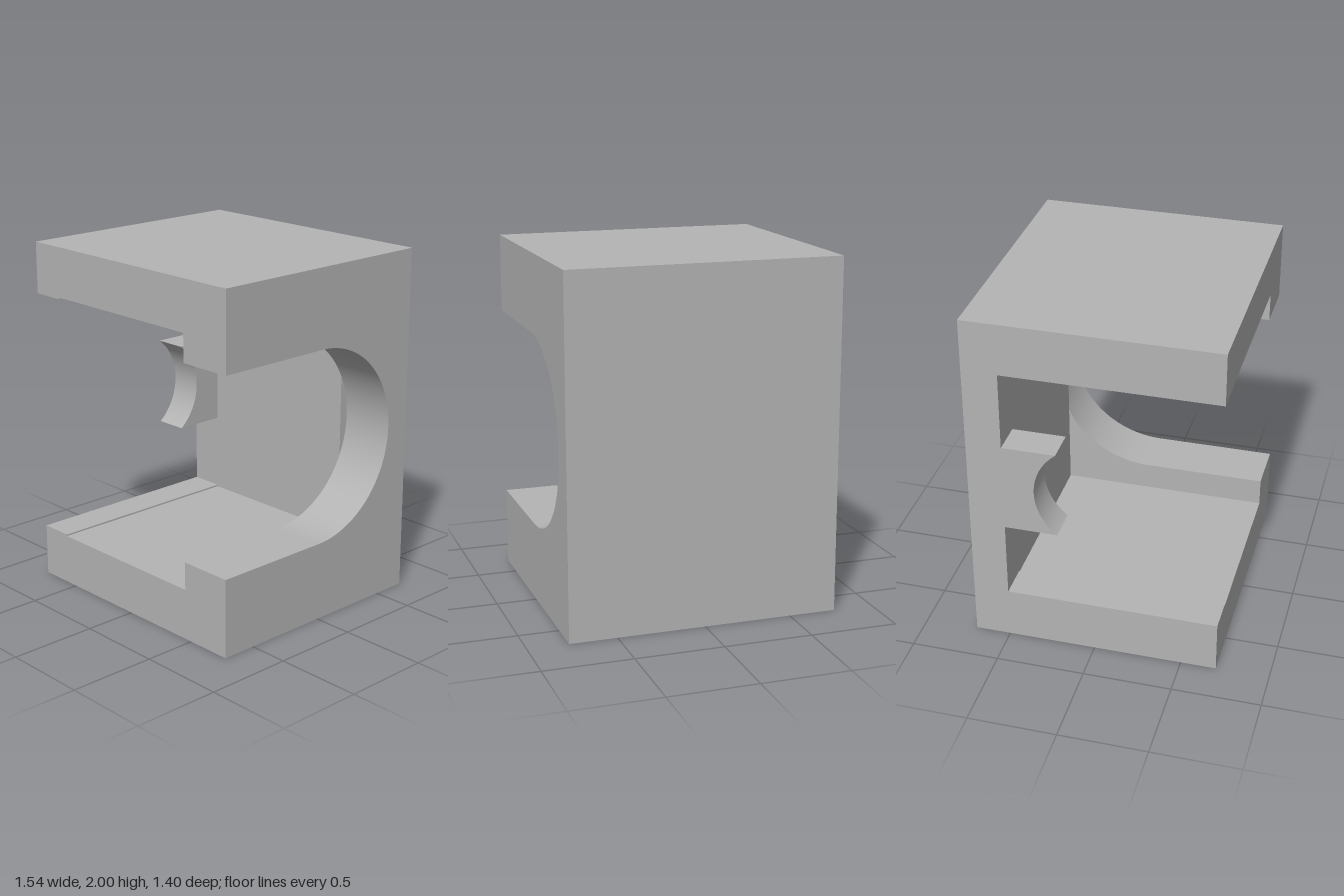
import * as THREE from 'three';
import { toCreasedNormals } from 'three/addons/utils/BufferGeometryUtils.js';

const W = 0.77, D = 0.7, H = 2, MID = 1.0025;
const X_STEP = -0.575, X_WALL = 0.455;

// Profiles are drawn with u = -z (front on the left) and v = y, then extruded along x.
function bracketProfile(floor, ceiling) {
  const s = new THREE.Shape();
  s.moveTo(-D, 0);
  s.lineTo(D, 0);
  s.lineTo(D, H);
  s.lineTo(-D, H);
  s.lineTo(-D, ceiling);
  s.lineTo(0.5, ceiling);
  s.lineTo(0.5, floor);
  s.lineTo(-D, floor);
  s.closePath();
  return s;
}

function slottedProfile(radius) {
  const s = new THREE.Shape();
  s.moveTo(-D, 0);
  s.lineTo(D, 0);
  s.lineTo(D, H);
  s.lineTo(-D, H);
  s.lineTo(-D, MID + radius);
  s.lineTo(0, MID + radius);
  s.absarc(0, MID, radius, Math.PI / 2, -Math.PI / 2, true);
  s.lineTo(-D, MID - radius);
  s.closePath();
  return s;
}

function saddleProfile(halfHeight, radius) {
  const a = Math.asin(halfHeight / radius);
  const s = new THREE.Shape();
  s.moveTo(0.5, MID - halfHeight);
  s.lineTo(0.5, MID + halfHeight);
  s.absarc(0, MID, radius, a, -a, true);
  s.closePath();
  return s;
}

export function createModel() {
  const group = new THREE.Group();
  group.name = 'bearingHousing';
  const grey = new THREE.MeshStandardMaterial({ color: 0xb4b4b4 });
  grey.name = 'plainGrey';

  function addSlice(name, shape, x0, x1) {
    const geo = new THREE.ExtrudeGeometry(shape, { depth: x1 - x0, bevelEnabled: false, curveSegments: 48 });
    geo.rotateY(Math.PI / 2);
    geo.translate(x0, 0, 0);
    const mesh = new THREE.Mesh(toCreasedNormals(geo, 0.5), grey);
    mesh.name = name;
    group.add(mesh);
  }

  // Open side, slightly deeper main cavity, and the wall with the round-ended slot
  addSlice('openSide', bracketProfile(0.3, 1.705), -W, X_STEP);
  addSlice('mainCavity', bracketProfile(0.29, 1.715), X_STEP, X_WALL);
  addSlice('slottedWall', slottedProfile(0.5525), X_WALL, W);
  // Curved support standing out from the back wall
  addSlice('shaftSaddle', saddleProfile(0.2575, 0.326), -W, X_STEP);
  return group;
}
